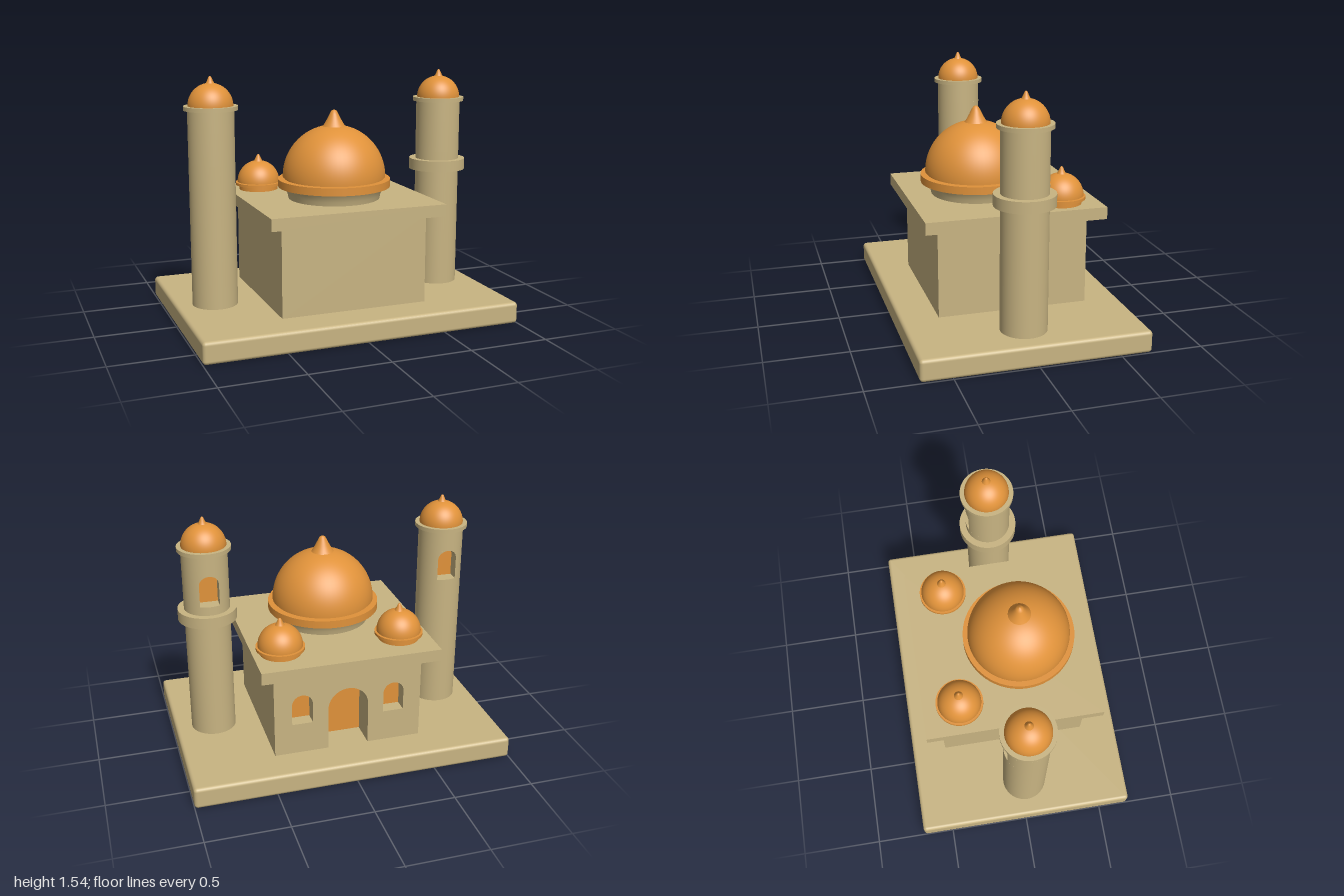
import * as THREE from 'three';
import { RoundedBoxGeometry } from 'three/addons/geometries/RoundedBoxGeometry.js';

export function createModel() {
  const model = new THREE.Group();
  const stone = new THREE.MeshStandardMaterial({ color: 0xc8b482, side: THREE.DoubleSide });
  stone.name = 'sandstone';
  const orange = new THREE.MeshStandardMaterial({ color: 0xe0923a, side: THREE.DoubleSide });
  orange.name = 'orange';

  const add = (parent, name, geo, mat, x = 0, y = 0, z = 0) => {
    const m = new THREE.Mesh(geo, mat);
    m.name = name;
    m.position.set(x, y, z);
    parent.add(m);
    return m;
  };
  const group = (name, x, y, z) => {
    const g = new THREE.Group();
    g.name = name;
    g.position.set(x, y, z);
    model.add(g);
    return g;
  };
  // Box given by its low and high corners
  const block = (name, x, y0, y1, z0, z1) =>
    add(model, name, new THREE.BoxGeometry(2 * x, y1 - y0, z1 - z0), stone, 0, (y0 + y1) / 2, (z0 + z1) / 2);
  // Upright disc standing on y0
  const disc = (parent, name, r, y0, y1, mat) =>
    add(parent, name, new THREE.CylinderGeometry(r, r, y1 - y0, 64), mat, 0, (y0 + y1) / 2, 0);
  // Outline of a round-topped opening, from low left over the arch to low right
  const archPoints = (cx, w, y0, y1) => {
    const r = w / 2, pts = [new THREE.Vector2(cx - r, y0)];
    for (let i = 0; i <= 20; i++) {
      const a = Math.PI * (1 - i / 20);
      pts.push(new THREE.Vector2(cx + r * Math.cos(a), y1 - r + r * Math.sin(a)));
    }
    pts.push(new THREE.Vector2(cx + r, y0));
    return pts;
  };
  // Surface between two rows of points
  const strip = (a, b) => {
    const g = new THREE.BufferGeometry().setFromPoints([...a, ...b]);
    const n = a.length, idx = [];
    for (let i = 0; i < n - 1; i++) idx.push(i, i + 1, n + i, i + 1, n + i + 1, n + i);
    g.setIndex(idx);
    g.computeVertexNormals();
    return g;
  };
  // Half-sphere with a pointed, concave finial
  const dome = (parent, r, y, tipR, tipY) => {
    add(parent, 'dome', new THREE.SphereGeometry(r, 64, 24, 0, Math.PI * 2, 0, Math.PI / 2), orange, 0, y, 0);
    const y0 = y + Math.sqrt(r * r - tipR * tipR) - 0.003, h = tipY - y0;
    const profile = [[1, 0], [0.8, 0.2], [0.58, 0.47], [0.38, 0.75], [0.24, 0.92], [0, 1]]
      .map(([a, b]) => new THREE.Vector2(a * tipR, y0 + b * h));
    add(parent, 'finial', new THREE.LatheGeometry(profile, 32), orange);
  };

  // Plinth, hall and roof
  add(model, 'plinth', new RoundedBoxGeometry(2, 0.135, 1.38, 4, 0.022), stone, 0, 0.0675, 0);
  block('hall', 0.465, 0.13, 0.69, -0.29, 0.46);
  block('roofSlab', 0.555, 0.69, 0.765, -0.565, 0.55);

  // Rear wall with doorway and two windows
  const door = archPoints(0, 0.254, 0.13, 0.535);
  const wall = new THREE.Shape([
    new THREE.Vector2(-0.465, 0.13), ...door, new THREE.Vector2(0.465, 0.13),
    new THREE.Vector2(0.465, 0.69), new THREE.Vector2(-0.465, 0.69)]);
  const windows = [-0.29, 0.29].map(x => archPoints(x, 0.13, 0.335, 0.53));
  windows.forEach(w => wall.holes.push(new THREE.Path(w)));
  add(model, 'rearWall', new THREE.ExtrudeGeometry(wall, { depth: 0.18, bevelEnabled: false }), stone, 0, 0, -0.47);
  add(model, 'doorPanel', new THREE.ShapeGeometry(new THREE.Shape(door)), orange, 0, 0, -0.294);
  windows.forEach(w => add(model, 'windowPane', new THREE.ShapeGeometry(new THREE.Shape(w)), orange, 0, 0, -0.385));

  // Main dome on its drum
  const main = group('mainDome', 0, 0, 0.1);
  const drum = [[0.285, 0.765], [0.29, 0.79], [0.3, 0.82], [0.315, 0.842]].map(p => new THREE.Vector2(...p));
  add(main, 'drum', new THREE.LatheGeometry(drum, 64), stone);
  disc(main, 'domeRing', 0.35, 0.84, 0.888, orange);
  disc(main, 'domeNeck', 0.308, 0.888, 0.9, orange);
  dome(main, 0.32, 0.9, 0.072, 1.315);

  // Small rear domes
  for (const x of [-0.362, 0.385]) {
    const g = group('smallDome', x, 0, -0.33);
    disc(g, 'domeFoot', 0.125, 0.765, 0.795, orange);
    disc(g, 'domeRing', 0.148, 0.795, 0.812, orange);
    dome(g, 0.136, 0.815, 0.03, 0.993);
  }

  // Towers with a rear-facing window; only the left one has a balcony
  const R = 0.14, W = 0.12, LOW = 1.015, HIGH = 1.21;
  for (const x of [-0.758, 0.756]) {
    const g = group('tower', x, 0, 0.022);
    disc(g, 'lowerShaft', R, 0.13, LOW, stone);
    disc(g, 'upperShaft', R, HIGH, 1.335, stone);
    const gap = Math.asin(W / 2 / R);
    add(g, 'windowShaft', new THREE.CylinderGeometry(R, R, HIGH - LOW, 56, 1, true, Math.PI + gap, 2 * (Math.PI - gap)),
      stone, 0, (LOW + HIGH) / 2, 0);
    const pts = archPoints(0, W, LOW, HIGH);
    const outer = pts.map(p => new THREE.Vector3(p.x, p.y, -Math.sqrt(R * R - p.x * p.x)));
    const inner = pts.map(p => new THREE.Vector3(p.x, p.y, -0.055));
    const arch = outer.slice(1, -1);
    add(g, 'archWall', strip(arch, arch.map(p => new THREE.Vector3(p.x, HIGH, p.z))), stone);
    add(g, 'windowReveal', strip(outer, inner), stone);
    add(g, 'windowPane', new THREE.ShapeGeometry(new THREE.Shape(pts)), orange, 0, 0, -0.055);
    if (x > 0) disc(g, 'balcony', 0.18, 0.89, 0.96, stone);
    disc(g, 'cornice', 0.163, 1.335, 1.36, stone);
    dome(g, 0.136, 1.36, 0.028, 1.537);
  }
  return model;
}
